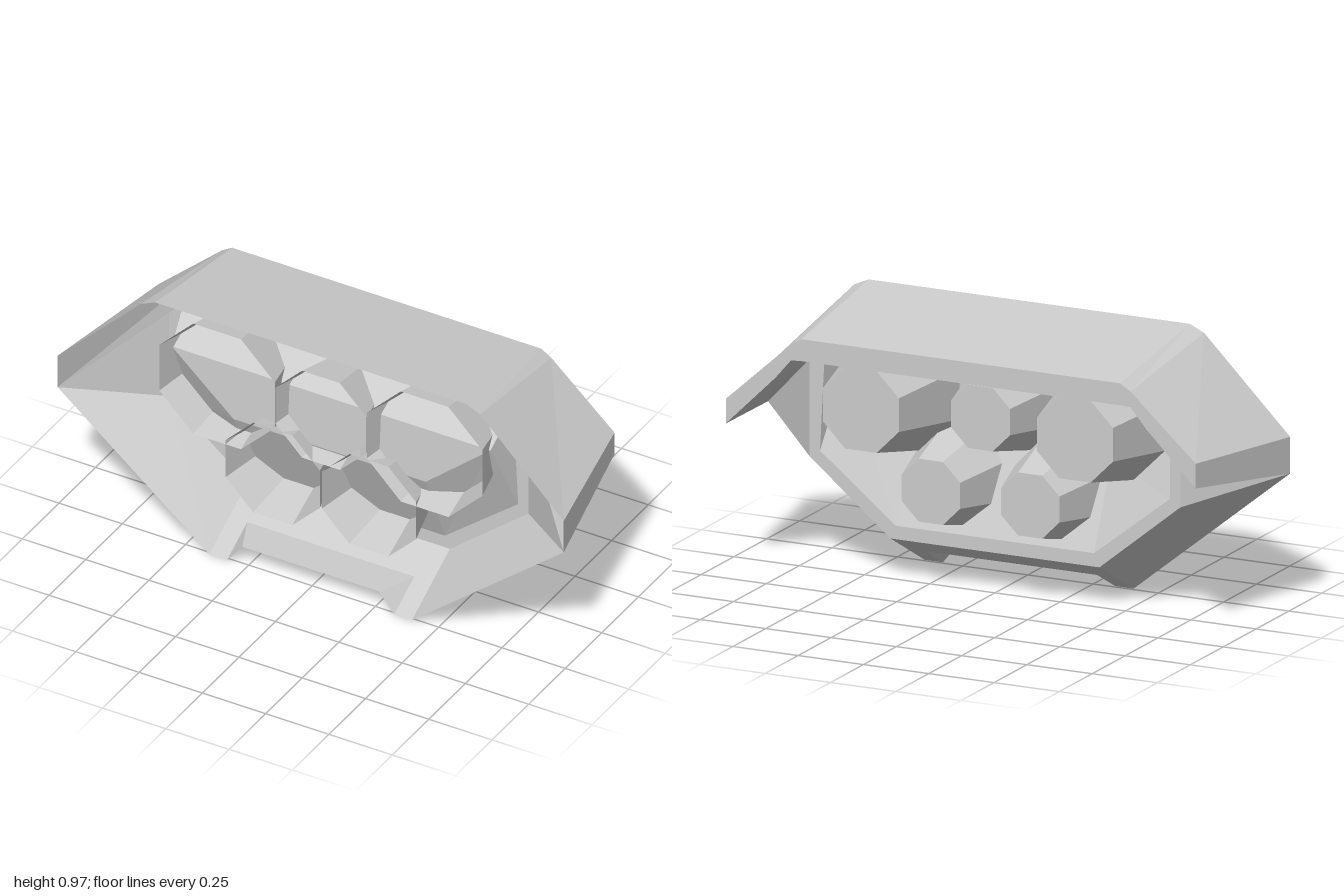
import * as THREE from 'three';

const material = new THREE.MeshStandardMaterial({ color: 0xcccccc, flatShading: true, side: THREE.DoubleSide });

// Flat polygons, each a loop of corners, fanned into triangles
function panels(name, polygons) {
  const pos = [];
  for (const p of polygons)
    for (let i = 1; i < p.length - 1; i++) pos.push(...p[0], ...p[i], ...p[i + 1]);
  const geo = new THREE.BufferGeometry();
  geo.setAttribute('position', new THREE.Float32BufferAttribute(pos, 3));
  geo.computeVertexNormals();
  const mesh = new THREE.Mesh(geo, material);
  mesh.name = name;
  return mesh;
}

const flip = ([x, y, z]) => [-x, y, z];
const mirrored = (polys) => [...polys, ...polys.map((p) => p.map(flip).reverse())];
// Closes half a section into a polygon spanning both sides
const across = (half) => [...half, ...half.map(flip).reverse()];
// Quads joining two rows of points
const strip = (a, b) => a.slice(1).map((_, i) => [a[i], a[i + 1], b[i + 1], b[i]]);
const at = (z, pts) => pts.map(([x, y]) => [x, y, z]);

// Eight-sided cup, open at the front; a0 and a1 are half-widths across flats
function lamp(name, x, y, a0, a1, z0, z1) {
  const g = new THREE.Group();
  g.name = name;
  const k = 1 / Math.cos(Math.PI / 8);
  const wall = new THREE.CylinderGeometry(a0 * k, a1 * k, z0 - z1, 8, 1, true);
  wall.rotateY(Math.PI / 8).rotateX(Math.PI / 2).translate(x, y, (z0 + z1) / 2);
  const cap = new THREE.CircleGeometry(a1 * k, 8);
  cap.rotateZ(Math.PI / 8).rotateY(Math.PI).translate(x, y, z1);
  [['cupWall', wall], ['cupBack', cap]].forEach(([n, geo]) => {
    const m = new THREE.Mesh(geo, material);
    m.name = n;
    g.add(m);
  });
  return g;
}

export function createModel() {
  const model = new THREE.Group();
  model.name = 'lampCluster';

  // Hood, widest at the front and tapering to the back
  const front = at(0.26, [[1, 0.487], [1, 0.617], [0.67, 0.945], [0.615, 0.97]]);
  const back = at(-0.26, [[0.9, 0.553], [0.9, 0.641], [0.65, 0.866], [0.61, 0.89]]);
  model.add(panels('hood', strip(across(front), across(back))));

  // Rear rim of the hood and the ledge running forward from it
  const rim = at(-0.26, [[0.9, 0.553], [0.71, 0.74], [0.65, 0.81], [0.61, 0.812]]);
  model.add(panels('hoodRim', strip(across(back), across(rim))));
  const ledge = at(0, [[0.71, 0.74], [0.65, 0.81], [0.61, 0.812]]);
  model.add(panels('hoodLedge', [
    ...strip(across(rim.slice(1)), across(ledge)),
    ...mirrored([[front[0], rim[0], rim[1], ledge[0]]]),
  ]));

  // Lower shell: sloping sides and a floor with two feet
  const corner = front[0], side = [0.71, 0.395, 0], low = [0.4, 0.142, 0];
  const foot = [0.4, 0, 0.26], toe = [0.33, 0, 0.26];
  const notch = [0.33, 0.075, 0.122], lip = [0.27, 0.075, 0.26];
  model.add(panels('sideShell', mirrored([
    [corner, foot, low, side],
    [corner, side, ledge[0]],
  ])));
  model.add(panels('floor', [
    [low, flip(low), flip(notch), notch],
    [notch, flip(notch), flip(lip), lip],
    ...mirrored([[low, notch, toe, foot]]),
  ]));
  model.add(panels('footSide', mirrored([[toe, notch, lip]])));

  // Flat frame around the opening
  const outer = [ledge[1], ledge[0], side, low];
  const inner = at(0, [[0.65, 0.81], [0.67, 0.73], [0.67, 0.42], [0.38, 0.19]]);
  model.add(panels('frame', strip(across(outer), across(inner))));

  // Faceted backing, bulging forward between the lamps
  const [t, , b, c] = inner;
  const high = [0.63, 0.7, 0.12], mid = [0.38, 0.49, 0.13];
  model.add(panels('backing', [
    [t, flip(t), flip(high), high],
    [high, flip(high), flip(mid), mid],
    [mid, flip(mid), flip(c), c],
    ...mirrored([[c, b, high, mid], [b, inner[1], t, high]]),
  ]));

  // Five lamps: three above, two below
  model.add(lamp('upperMiddleLamp', 0, 0.65, 0.18, 0.113, 0.19, -0.11));
  for (const [s, word] of [[1, 'Left'], [-1, 'Right']]) {
    model.add(lamp(`upper${word}Lamp`, s * 0.41, 0.65, 0.228, 0.145, 0.19, -0.205));
    model.add(lamp(`lower${word}Lamp`, s * 0.19, 0.363, 0.186, 0.112, 0.19, -0.11));
  }
  return model;
}
